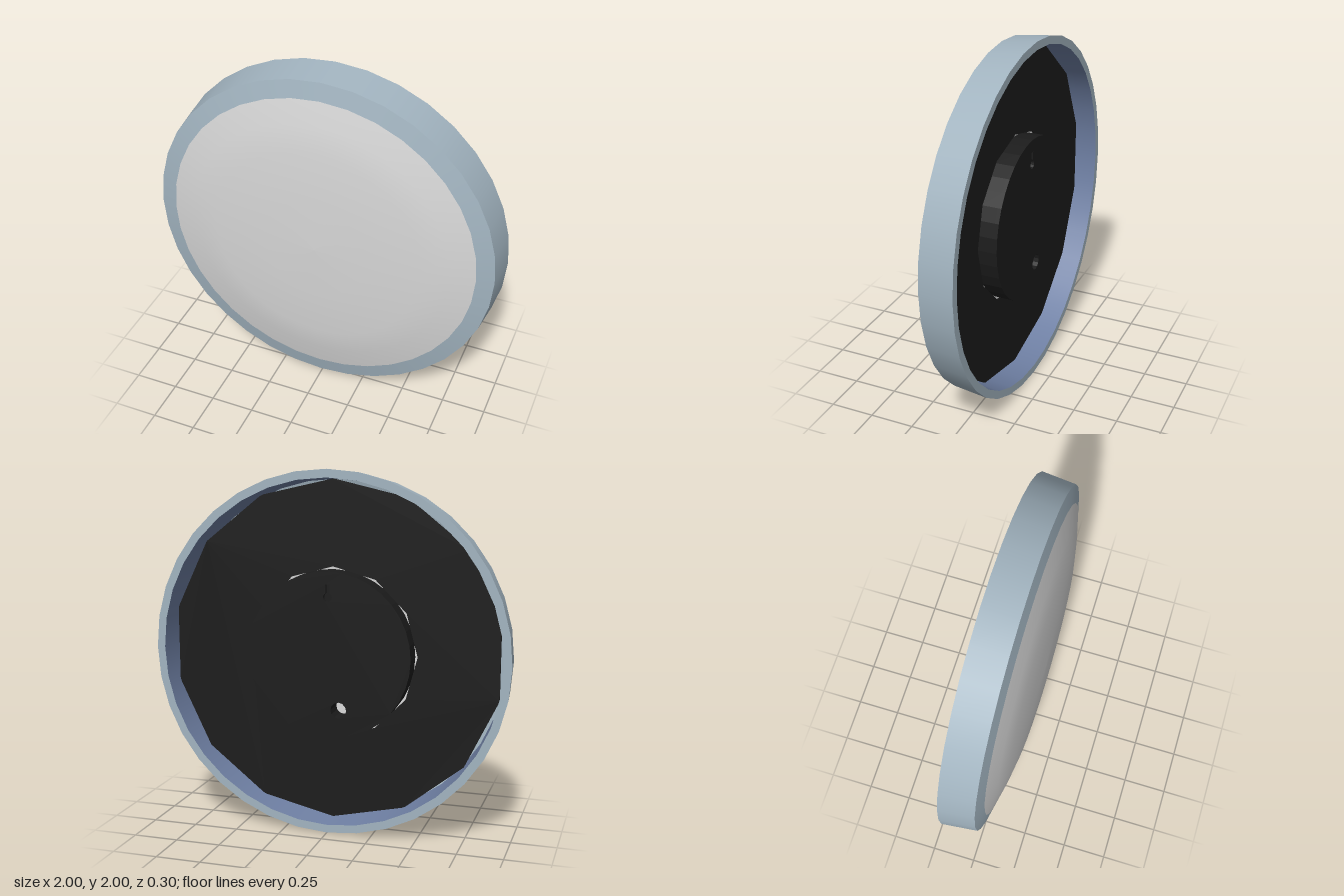
import * as THREE from 'three';

const SEG = 36;

function material(name, color, side = THREE.FrontSide) {
  const m = new THREE.MeshStandardMaterial({ color, side });
  m.name = name;
  return m;
}

// Band of revolution around the z axis from [radius, z] points
function band(name, points, mat) {
  const geo = new THREE.LatheGeometry(points.map(([r, z]) => new THREE.Vector2(r, z)), SEG);
  geo.rotateX(Math.PI / 2);
  const mesh = new THREE.Mesh(geo, mat);
  mesh.name = name;
  return mesh;
}

// Corner points of a regular polygon
function ring(r, n, cx = 0, cy = 0) {
  return Array.from({ length: n }, (_, i) => {
    const a = Math.PI / 2 + (i / n) * Math.PI * 2;
    return new THREE.Vector2(cx + r * Math.cos(a), cy + r * Math.sin(a));
  });
}

// Flat slab with holes, reaching from z0 to z0 + depth
function slab(name, outline, holes, z0, depth, mat) {
  const shape = new THREE.Shape(outline);
  shape.holes = holes.map((h) => new THREE.Path(h));
  const geo = new THREE.ExtrudeGeometry(shape, { depth, bevelEnabled: false });
  geo.translate(0, 0, z0);
  const mesh = new THREE.Mesh(geo, mat);
  mesh.name = name;
  return mesh;
}

export function createModel() {
  const frameMat = material('blue grey frame', 0xa2b4c0, THREE.DoubleSide);
  const liningMat = material('slate blue lining', 0x6f80a4);
  const diffuserMat = material('light grey diffuser', 0xd6d6d6, THREE.DoubleSide);
  const blackMat = material('black backing', 0x1c1c1c);

  const model = new THREE.Group();
  model.name = 'roundWallLamp';
  const body = new THREE.Group();
  body.name = 'lampBody';
  body.position.y = 1;
  model.add(body);

  // Frame: tapered side, sloping bezel, back rim and inner wall
  const frame = new THREE.Group();
  frame.name = 'frame';
  frame.add(
    band('frameSide', [[1, -0.15], [0.98, 0.045]], frameMat),
    band('frontBezel', [[0.98, 0.045], [0.885, 0.068]], frameMat),
    band('backRim', [[0.955, -0.15], [1, -0.15]], frameMat),
    band('innerWall', [[0.94, 0.05], [0.955, -0.15]], liningMat),
  );
  body.add(frame);

  // Shallow domed diffuser
  body.add(band('diffuser',
    [[0.885, 0.068], [0.75, 0.1], [0.6, 0.126], [0.3, 0.142], [0, 0.147]], diffuserMat));

  // Recessed back plate with a coarse opening around the hub
  body.add(slab('backPlate', ring(0.945, 14), [ring(0.475, 12)], -0.03, 0.01, blackMat));

  // Raised mounting hub with a cable hole and a keyhole slot
  const cableHole = ring(0.045, 12, -0.06, -0.3);
  const keyhole = [];
  for (let i = 0; i <= 10; i++) {
    const a = Math.PI * (0.65 + (i / 10) * 1.7);
    keyhole.push(new THREE.Vector2(0.025 * Math.cos(a), 0.32 + 0.025 * Math.sin(a)));
  }
  keyhole.push(new THREE.Vector2(0.011, 0.39), new THREE.Vector2(-0.011, 0.39));
  const hub = new THREE.Group();
  hub.name = 'mountingHub';
  hub.add(
    slab('hubBase', ring(0.46, SEG), [cableHole], -0.11, 0.09, blackMat),
    slab('hubCap', ring(0.46, SEG), [cableHole, keyhole], -0.13, 0.02, blackMat),
  );
  body.add(hub);

  return model;
}
